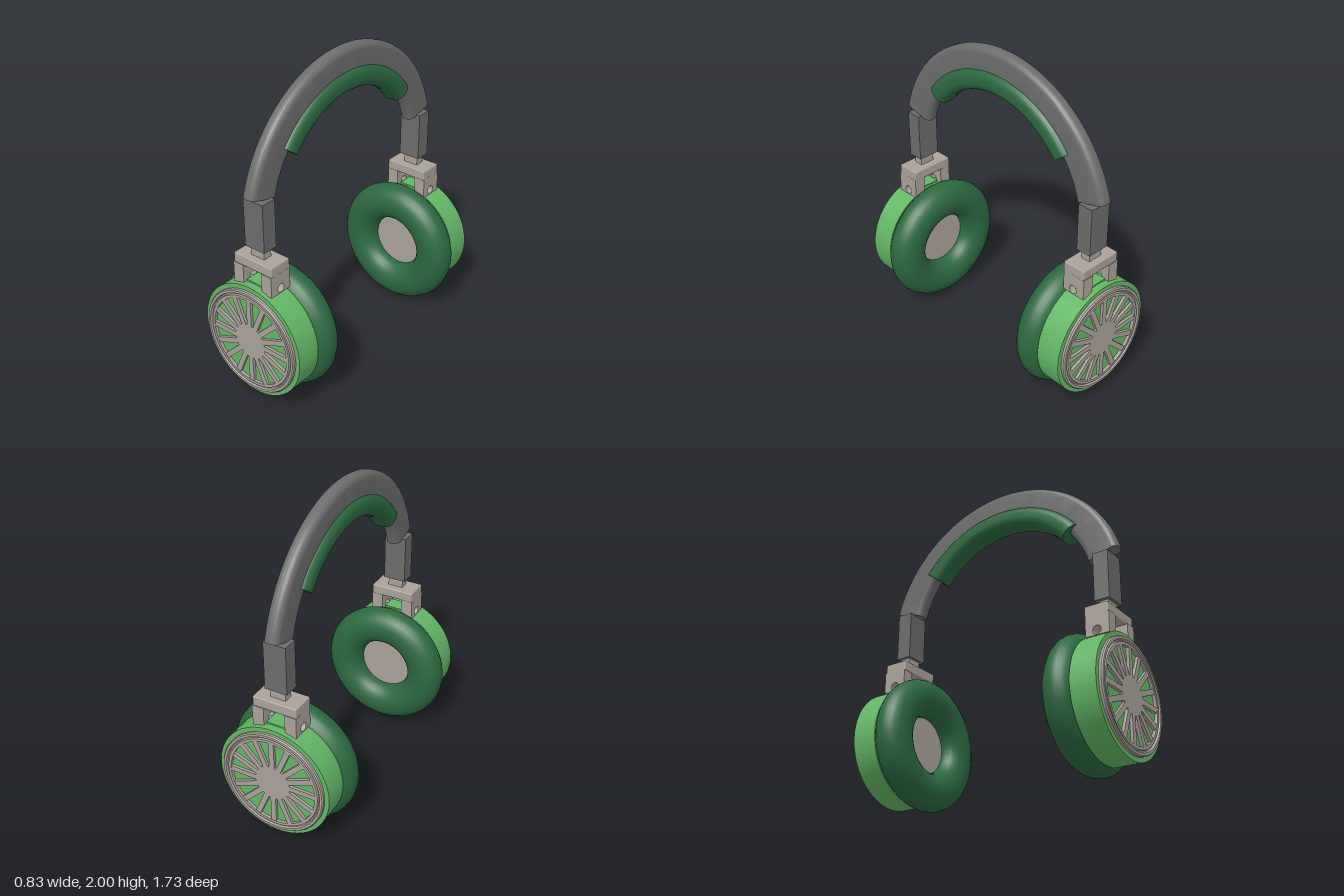
import * as THREE from 'three';
import { toCreasedNormals } from 'three/addons/utils/BufferGeometryUtils.js';
import { RoundedBoxGeometry } from 'three/addons/geometries/RoundedBoxGeometry.js';

const mat = (name, color) => {
  const m = new THREE.MeshStandardMaterial({ color });
  m.name = name;
  return m;
};
const CUP_Y = 0.42, ARC_Y = 1.14, STEM_Z = 0.735;

function roundedRect(x0, x1, y0, y1, r) {
  const s = new THREE.Shape();
  s.absarc(x1 - r, y1 - r, r, 0, Math.PI / 2);
  s.absarc(x0 + r, y1 - r, r, Math.PI / 2, Math.PI);
  s.absarc(x0 + r, y0 + r, r, Math.PI, Math.PI * 1.5);
  s.absarc(x1 - r, y0 + r, r, Math.PI * 1.5, Math.PI * 2);
  return s;
}

// Rounded bar bent around the x axis: extrusion depth becomes the angle
function bentBar(rIn, rOut, halfWidth, corner, endAngle) {
  const g = new THREE.ExtrudeGeometry(roundedRect(rIn, rOut, -halfWidth, halfWidth, corner),
    { depth: Math.PI - 2 * endAngle, steps: 48, bevelEnabled: false, curveSegments: 6 });
  const p = g.attributes.position;
  for (let i = 0; i < p.count; i++) {
    const r = p.getX(i), a = p.getZ(i) + endAngle;
    p.setXYZ(i, p.getY(i), ARC_Y + r * Math.sin(a), r * Math.cos(a));
  }
  return toCreasedNormals(g, 0.6);
}

// Profile of [radius, z] points turned around the z axis
function turned(points, segments = 64) {
  const g = new THREE.LatheGeometry(points.map(([r, z]) => new THREE.Vector2(r, z)), segments);
  g.rotateX(Math.PI / 2);
  return toCreasedNormals(g, 0.6);
}

// Disc pierced by wedge openings, leaving straight spokes
function spokeGeometry() {
  const shape = new THREE.Shape().absarc(0, 0, 0.3, 0, Math.PI * 2);
  const count = 16, half = 0.017, inner = 0.115, outer = 0.286;
  for (let i = 0; i < count; i++) {
    const mid = (i + 0.5) * Math.PI * 2 / count;
    const aIn = Math.PI / count - Math.asin(half / inner);
    const aOut = Math.PI / count - Math.asin(half / outer);
    const hole = new THREE.Path();
    const at = (r, a) => [r * Math.cos(mid + a), r * Math.sin(mid + a)];
    hole.moveTo(...at(inner, -aIn));
    for (let k = -2; k <= 2; k++) hole.lineTo(...at(outer, aOut * k / 2));
    hole.lineTo(...at(inner, aIn));
    hole.closePath();
    shape.holes.push(hole);
  }
  return new THREE.ExtrudeGeometry(shape, { depth: 0.025, bevelEnabled: false, curveSegments: 32 });
}

// Yoke arm with a pivot hole, drawn in the z-y plane and extruded along x
function armGeometry() {
  const s = new THREE.Shape();
  s.moveTo(-0.08, 0.765);
  s.lineTo(0.075, 0.765);
  s.lineTo(0.075, 0.9);
  s.lineTo(-0.08, 0.9);
  s.closePath();
  s.holes.push(new THREE.Path().absarc(0, 0.797, 0.028, 0, Math.PI * 2));
  const g = new THREE.ExtrudeGeometry(s, { depth: 0.075, bevelEnabled: false, curveSegments: 16 });
  g.translate(0, 0, -0.0375);
  g.rotateY(Math.PI / 2);
  return g;
}

export function createModel() {
  const grey = mat('bandGrey', 0x6c6c6c);
  const dark = mat('cushionGreen', 0x2b693f);
  const green = mat('shellGreen', 0x62b765);
  const metal = mat('warmMetal', 0xaaa299);

  const model = new THREE.Group();
  model.name = 'headphones';
  const add = (parent, name, geometry, material, x = 0, y = 0, z = 0) => {
    const m = new THREE.Mesh(geometry, material);
    m.name = name;
    m.position.set(x, y, z);
    parent.add(m);
    return m;
  };

  // Headband and its inner padding
  add(model, 'headband', bentBar(0.652, 0.862, 0.047, 0.04, Math.PI / 12), grey);
  add(model, 'headbandPad', bentBar(0.592, 0.726, 0.078, 0.055, 0.665), dark);

  // Shared ear cup geometry
  const cushion = new THREE.TorusGeometry(0.295, 0.12, 24, 64).scale(1, 1, 0.875);
  const shell = turned([[0, 0.68], [0.37, 0.68], [0.37, 0.843], [0, 0.843]]);
  const plate = turned([[0, 0.6], [0.2, 0.6], [0.2, 0.69], [0, 0.69]].map(([r, z]) => [r, z]));
  const ring = turned([[0.341, 0.835], [0.341, 0.858], [0.335, 0.866], [0.32, 0.866], [0.315, 0.852],
    [0.308, 0.852], [0.304, 0.863], [0.286, 0.863], [0.286, 0.835]]);
  const spokes = spokeGeometry();
  const arm = armGeometry();

  for (const [side, turn] of [['front', 0], ['back', Math.PI]]) {
    const unit = new THREE.Group();
    unit.name = side + 'EarUnit';
    unit.rotation.y = turn;
    model.add(unit);

    // Ear cup
    add(unit, 'earCushion', cushion, dark, 0, CUP_Y, 0.59);
    add(unit, 'speakerPlate', plate, metal, 0, CUP_Y, 0);
    add(unit, 'cupShell', shell, green, 0, CUP_Y, 0);
    add(unit, 'grilleRing', ring, metal, 0, CUP_Y, 0);
    add(unit, 'grilleSpokes', spokes, metal, 0, CUP_Y, 0.836);
    add(unit, 'pivotTab', new THREE.BoxGeometry(0.13, 0.06, 0.1), green, 0, 0.768, 0.745);

    // Yoke and adjustable slider
    for (const x of [-0.1075, 0.1075]) add(unit, 'yokeArm', arm, metal, x, 0, STEM_Z);
    add(unit, 'yokeBridge', new RoundedBoxGeometry(0.29, 0.066, 0.155, 2, 0.008), metal, 0, 0.927, 0.7325);
    add(unit, 'sliderStem', new THREE.BoxGeometry(0.1, 0.1, 0.06), metal, 0, 0.99, STEM_Z);
    add(unit, 'sliderSleeve', new THREE.BoxGeometry(0.146, 0.31, 0.1), grey, 0, 1.175, STEM_Z);
  }
  return model;
}
